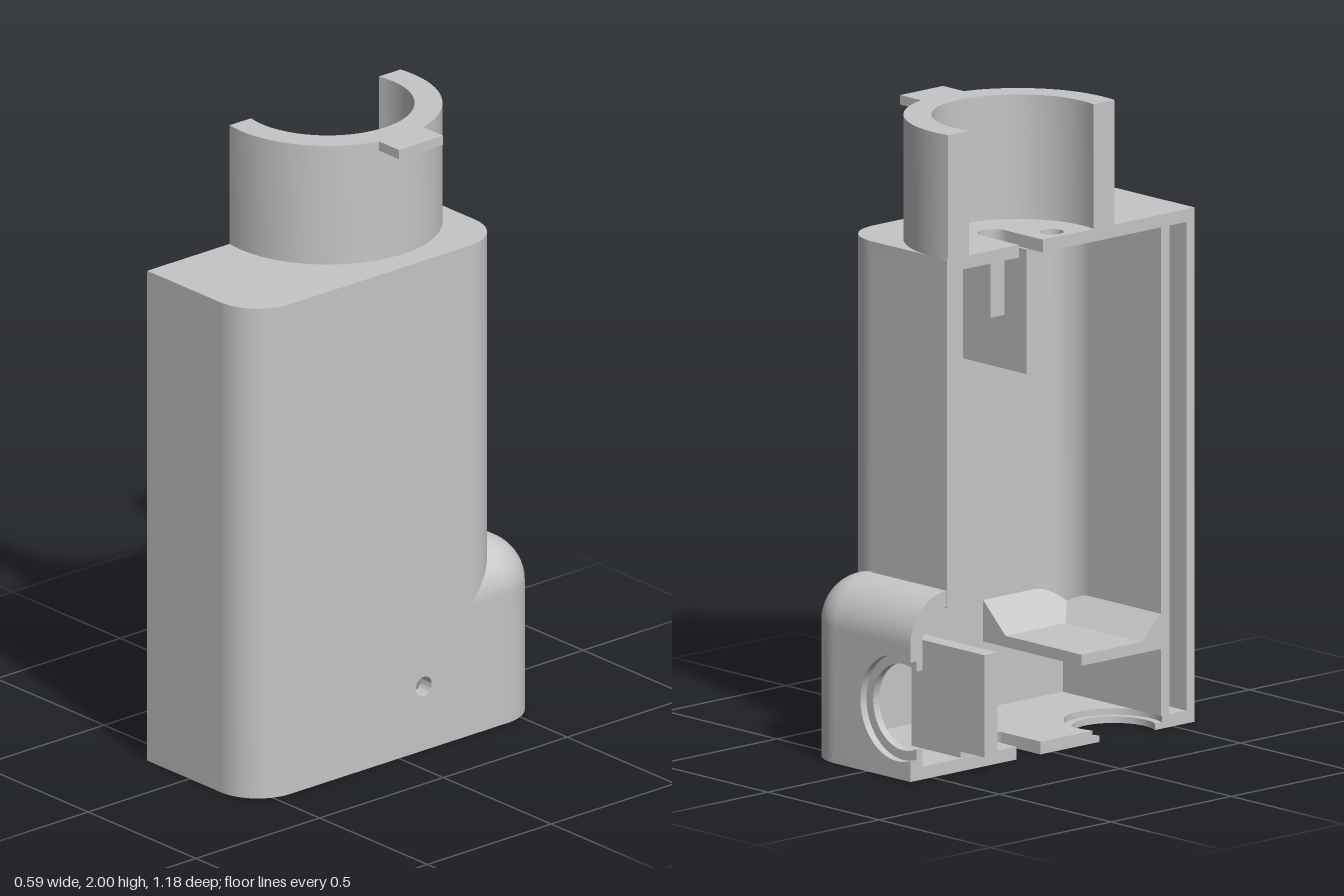
import * as THREE from 'three';
import { toCreasedNormals } from 'three/addons/utils/BufferGeometryUtils.js';

const OPEN = -0.197, SIDE = 0.294, FRONT = 0.59, BACK = -0.437, BULGE = -0.59;
const R = 0.15, T = 0.05, FLOOR = 0.04, ROOF = 1.57, TOP = 1.61, DOME = 0.425;
const CX = SIDE - R; // x of every rounded corner's centre
const AX = -0.138;   // x of the round openings and the neck

export function createModel() {
  const model = new THREE.Group();
  const grey = new THREE.MeshStandardMaterial({ color: 0xc6c6c6 });
  grey.name = 'plain grey';
  grey.side = THREE.DoubleSide;

  const add = (name, geometry) => {
    const mesh = new THREE.Mesh(geometry, grey);
    mesh.name = name;
    model.add(mesh);
  };
  const box = (name, x0, x1, y0, y1, z0, z1) => add(name,
    new THREE.BoxGeometry(x1 - x0, y1 - y0, z1 - z0)
      .translate((x0 + x1) / 2, (y0 + y1) / 2, (z0 + z1) / 2));
  const extrude = (shape, depth) => toCreasedNormals(
    new THREE.ExtrudeGeometry(shape, { depth, bevelEnabled: false, curveSegments: 20 }), 0.5);
  // Shape in (x, z), spanning y0 to y1
  const alongY = (name, shape, y0, y1) =>
    add(name, extrude(shape, y1 - y0).rotateX(Math.PI / 2).translate(0, y1, 0));
  // Shape in (-z, y), spanning x0 to x1
  const alongX = (name, shape, x0, x1) =>
    add(name, extrude(shape, x1 - x0).rotateY(Math.PI / 2).translate(x0, 0, 0));
  // Shape in (x, y), spanning z0 to z1
  const alongZ = (name, shape, z0, z1) =>
    add(name, extrude(shape, z1 - z0).translate(0, 0, z0));

  const polygon = (...pts) => new THREE.Shape(pts.map(p => new THREE.Vector2(...p)));
  const arcBand = (cx, cy, r, t, a0, a1) => {
    const s = new THREE.Shape();
    s.absarc(cx, cy, r, a0, a1, false);
    s.absarc(cx, cy, r - t, a1, a0, true);
    s.closePath();
    return s;
  };
  // Cut-outs entered from the open edge, listed from high to low
  const cutAngle = r => Math.acos((OPEN - AX) / r);
  const roundNotch = (c, r) => s => {
    const a = cutAngle(r);
    s.lineTo(OPEN, c + r * Math.sin(a));
    s.absarc(AX, c, r, a, -a, true);
  };
  const slot = (c, r) => s => {
    s.lineTo(OPEN, c + r);
    s.absarc(-0.03, c, r, Math.PI / 2, -Math.PI / 2, true);
    s.lineTo(OPEN, c - r);
  };
  const plan = (back, notches) => {
    const s = new THREE.Shape();
    s.moveTo(OPEN, back);
    s.lineTo(CX, back);
    s.absarc(CX, back + R, R, -Math.PI / 2, 0, false);
    s.absarc(CX, FRONT - R, R, 0, Math.PI / 2, false);
    s.lineTo(OPEN, FRONT);
    notches.forEach(n => n(s));
    s.closePath();
    return s;
  };

  // Floor in two layers, giving the round opening a ledge
  alongY('floor', plan(BULGE, [roundNotch(0.31, 0.13), slot(-0.1, 0.05)]), 0, 0.02);
  alongY('floorLedge', plan(BULGE, [roundNotch(0.31, 0.155), slot(-0.1, 0.05)]), 0.02, FLOOR);

  // Roof in two layers with a slot and a stepped screw hole
  for (const [name, r, y0, y1] of [['roofUnderside', 0.022, ROOF, 1.59], ['roof', 0.036, 1.59, TOP]]) {
    const s = plan(BACK, [slot(-0.09, 0.05)]);
    s.holes.push(new THREE.Path().absarc(AX, 0.052, r, 0, Math.PI * 2, true));
    alongY(name, s, y0, y1);
  }

  // Side wall with pin hole
  const u0 = R - FRONT, u1 = -R - BACK, u2 = -R - BULGE;
  const side = polygon([u0, FLOOR], [u2, FLOOR], [u2, DOME], [u1, DOME], [u1, ROOF], [u0, ROOF]);
  side.holes.push(new THREE.Path().absarc(0.1, 0.21, 0.032, 0, Math.PI * 2, true));
  alongX('sideWall', side, SIDE - T, SIDE);

  // Front and back walls with rounded corners
  box('frontWall', OPEN, CX, FLOOR, ROOF, FRONT - 0.035, FRONT);
  box('backWall', OPEN, CX, 0.52, ROOF, BACK, BACK + 0.065);
  alongY('frontCorner', arcBand(CX, FRONT - R, R, T, 0, Math.PI / 2), FLOOR, ROOF);
  alongY('backCorner', arcBand(CX, BACK + R, R, T, -Math.PI / 2, 0), DOME, ROOF);

  // Rear bulge: wall with stepped round port, corner and domed top
  for (const [name, r, z] of [['portWall', 0.165, BULGE], ['portLedge', 0.135, BULGE + 0.025]]) {
    const s = new THREE.Shape();
    s.moveTo(OPEN, FLOOR);
    s.lineTo(CX, FLOOR);
    s.lineTo(CX, DOME);
    s.lineTo(OPEN, DOME);
    roundNotch(0.22, r)(s);
    s.closePath();
    alongZ(name, s, z, z + 0.025);
  }
  alongY('bulgeCorner', arcBand(CX, BULGE + R, R, T, -Math.PI / 2, 0), FLOOR, DOME);
  alongX('bulgeTop', arcBand(-BULGE - R, DOME, R, T, 0, Math.PI / 2), OPEN, CX);
  alongZ('bulgeShoulder', arcBand(CX, DOME, R, T, 0, Math.PI / 2), BULGE + R, BACK + R);
  for (const r of [R, R - T])
    add('bulgeDome', new THREE.SphereGeometry(r, 16, 16, Math.PI, Math.PI / 2, 0, Math.PI / 2)
      .translate(CX, DOME, BULGE + R));

  // Neck: part of a ring cut off at the open side, with a tab
  const neck = new THREE.Shape();
  neck.absarc(AX, -0.088, 0.35, -cutAngle(0.35), cutAngle(0.35), false);
  neck.absarc(AX, -0.088, 0.265, cutAngle(0.265), -cutAngle(0.265), true);
  neck.closePath();
  alongY('neck', neck, TOP, 2);
  box('neckTab', 0.19, SIDE, 1.97, 2, -0.178, 0);

  // Inner partition with a hollow rounded corner
  const inner = SIDE - T, fillet = 0.12;
  box('partition', OPEN, inner, FLOOR, ROOF, 0.45, 0.485);
  const corner = new THREE.Shape();
  corner.moveTo(inner, 0.45);
  corner.lineTo(inner - fillet, 0.45);
  corner.absarc(inner - fillet, 0.45 - fillet, fillet, Math.PI / 2, 0, true);
  corner.closePath();
  alongY('innerCorner', corner, 0.285, ROOF);

  // Brackets beside the slot, and locating plate on its foot
  box('longBracket', -0.135, inner, 1.18, ROOF, -0.05, 0.03);
  box('shortBracket', -0.135, inner, 1.38, ROOF, -0.2, -0.142);
  box('locatingPlate', -0.297, 0.03, 0.06, 0.38, -0.375, -0.32);
  box('locatingPlateFoot', -0.19, 0.03, FLOOR, 0.06, -0.375, -0.32);

  // Shelf with sloping edges
  box('shelf', OPEN, inner, 0.25, 0.285, 0.12, 0.45);
  alongZ('shelfSideSlope', polygon([inner - 0.1, 0.285], [inner, 0.285], [inner, 0.38]), 0.12, 0.45);
  alongX('shelfFrontSlope', polygon([-0.45, 0.285], [-0.37, 0.285], [-0.45, 0.36]), OPEN, inner);

  return model;
}
